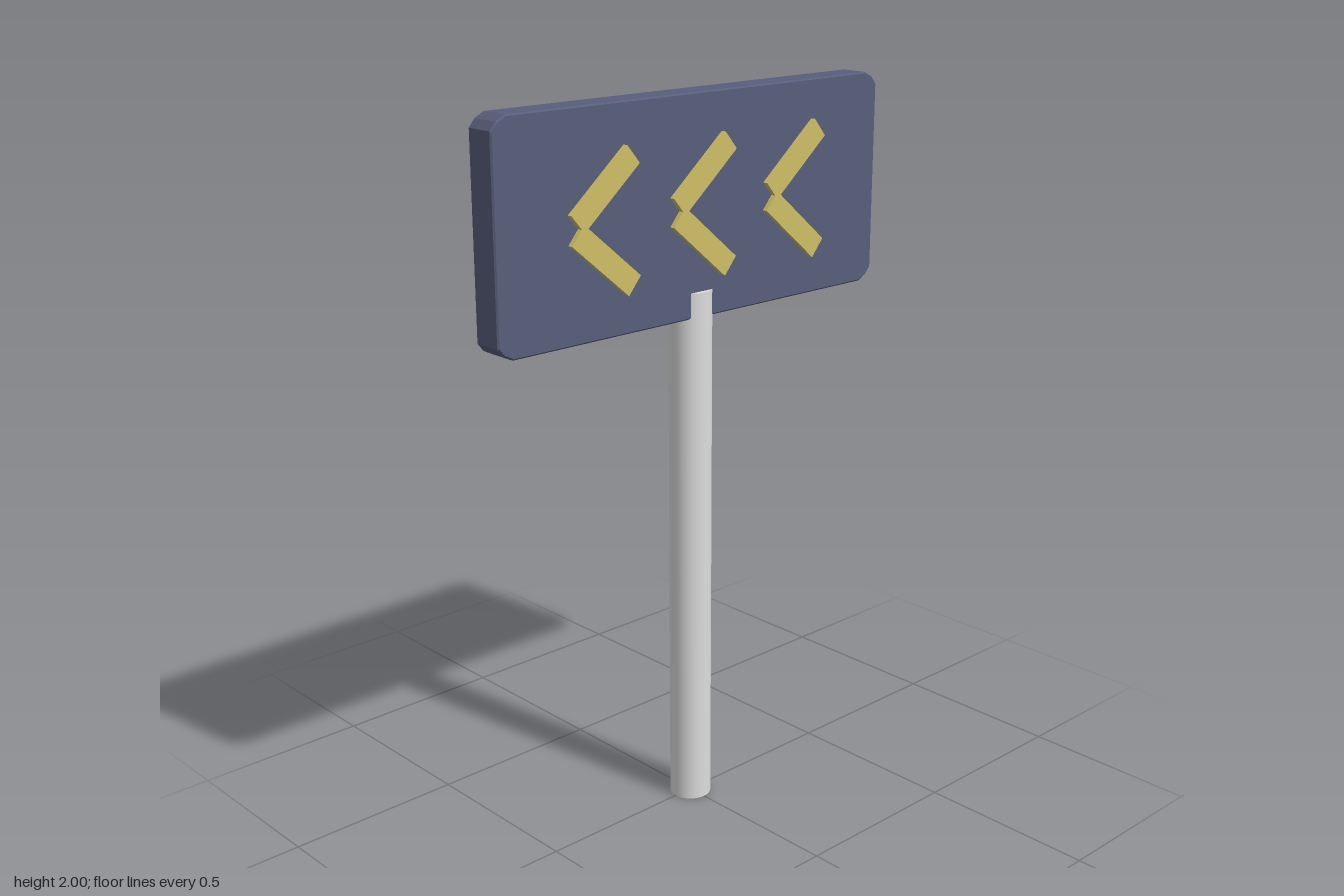
import * as THREE from 'three';

const navy = new THREE.MeshStandardMaterial({ name: 'navy', color: 0x585e7b });
const yellow = new THREE.MeshStandardMaterial({ name: 'yellow', color: 0xcfbf66 });
const lightGrey = new THREE.MeshStandardMaterial({ name: 'lightGrey', color: 0xdddddd });

function addMesh(parent, name, geometry, material, x = 0, y = 0, z = 0) {
  const mesh = new THREE.Mesh(geometry, material);
  mesh.name = name;
  mesh.position.set(x, y, z);
  parent.add(mesh);
  return mesh;
}

// Flat panel with clipped corners and a very fine bevelled rim
function panelGeometry(width, height, depth) {
  const bevel = 0.004;
  const w = width / 2 - bevel, h = height / 2 - bevel;
  const corner = [[0, 0.032], [0.016, 0.013], [0.042, 0]];
  const points = [];
  for (const [sx, sy] of [[1, 1], [-1, 1], [-1, -1], [1, -1]]) {
    const run = corner.map(([dx, dy]) => new THREE.Vector2(sx * (w - dx), sy * (h - dy)));
    points.push(...(sx * sy > 0 ? run : run.reverse()));
  }
  const geometry = new THREE.ExtrudeGeometry(new THREE.Shape(points), {
    depth: depth - 2 * bevel,
    bevelEnabled: true,
    bevelSize: bevel,
    bevelThickness: bevel,
    bevelSegments: 1,
  });
  geometry.translate(0, 0, -depth / 2 + bevel);
  return geometry;
}

export function createModel() {
  const sign = new THREE.Group();
  sign.name = 'chevronSign';

  // Round post, overlapping the lower edge of the panel
  addMesh(sign, 'post', new THREE.CylinderGeometry(0.058, 0.058, 1.485, 32), lightGrey, 0, 0.7425, 0);

  // Sign panel
  addMesh(sign, 'panel', panelGeometry(1.33, 0.585, 0.086), navy, 0, 1.7075, 0);

  // Three raised arrows, each made of two crossed bars
  const bar = new THREE.BoxGeometry(0.235, 0.062, 0.028);
  for (const x of [-0.334, 0, 0.334]) {
    const chevron = new THREE.Group();
    chevron.name = 'chevron';
    chevron.position.set(x, 1.706, 0.044);
    for (const side of [1, -1]) {
      const name = side > 0 ? 'upperBar' : 'lowerBar';
      addMesh(chevron, name, bar, yellow, 0, side * 0.089, 0).rotation.z = side * THREE.MathUtils.degToRad(40);
    }
    sign.add(chevron);
  }
  return sign;
}
